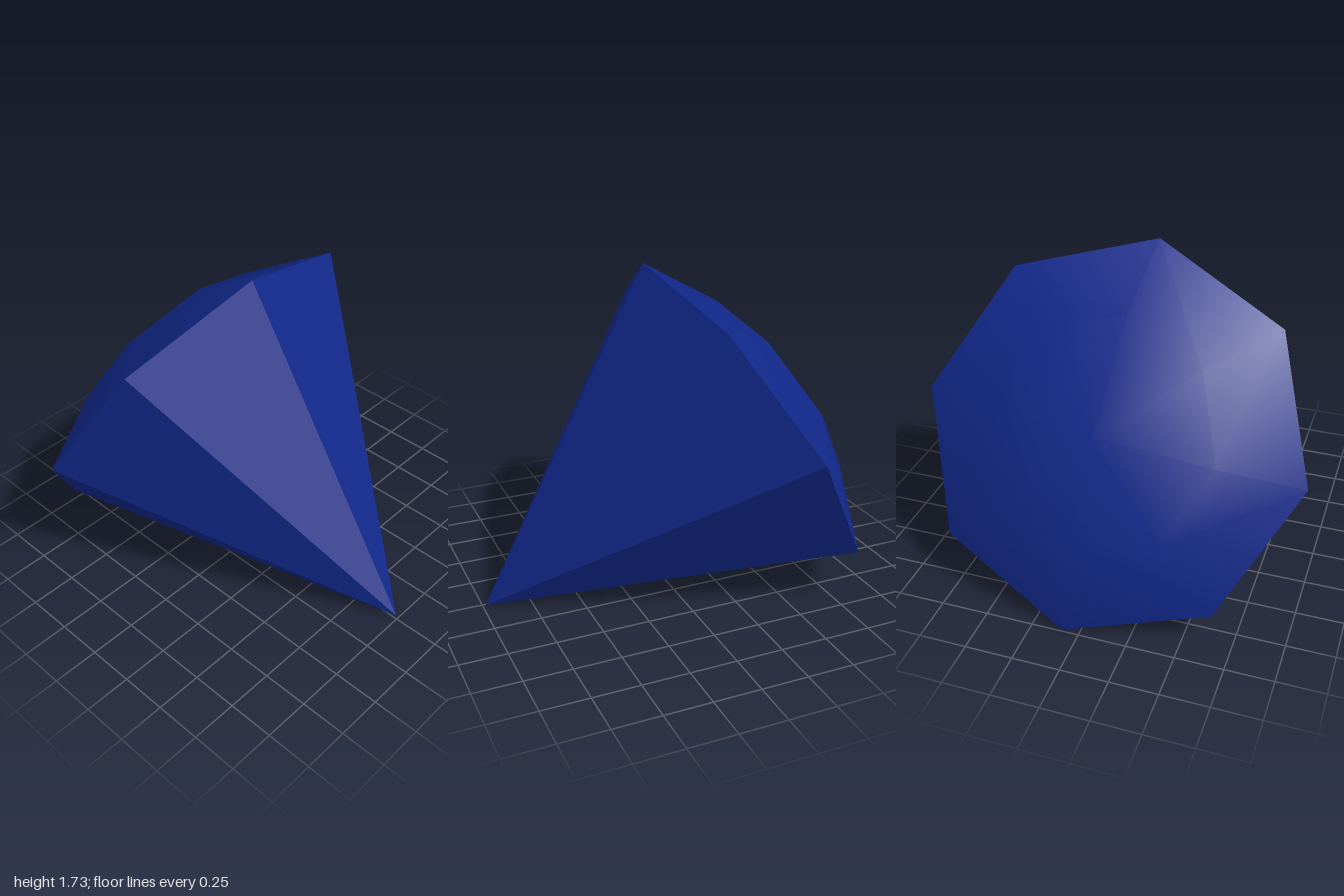
import * as THREE from 'three';
import { toCreasedNormals } from 'three/addons/utils/BufferGeometryUtils.js';

const SIDES = 8;
const RADIUS = 1.01;
const deg = THREE.MathUtils.degToRad;

// Eight-sided turned solid: shallow edges stay soft, steeper ones sharp
function facetedLathe(profile, name, material) {
  const points = profile.map(([r, y]) => new THREE.Vector2(r, y));
  const geometry = new THREE.LatheGeometry(points, SIDES, deg(84.6));
  const mesh = new THREE.Mesh(toCreasedNormals(geometry, deg(30)), material);
  mesh.name = name;
  return mesh;
}

export function createModel() {
  const group = new THREE.Group();
  group.name = 'gem';

  const sapphire = new THREE.MeshStandardMaterial({ color: 0x11288a });
  sapphire.name = 'sapphire blue';

  // Long pointed underside, from the tip to the widest ring
  group.add(facetedLathe([[0, -1.7], [RADIUS, 0]], 'pavilion', sapphire));
  // Shallow domed top
  group.add(facetedLathe([[RADIUS, 0], [0.6, 0.235], [0, 0.29]], 'crown', sapphire));

  // The gem lies tipped over, resting on its tip and one corner
  const model = new THREE.Group();
  group.rotation.set(0, 0.01, deg(59.5));
  group.position.set(-0.48, 0.867, 0);
  model.add(group);
  return model;
}
